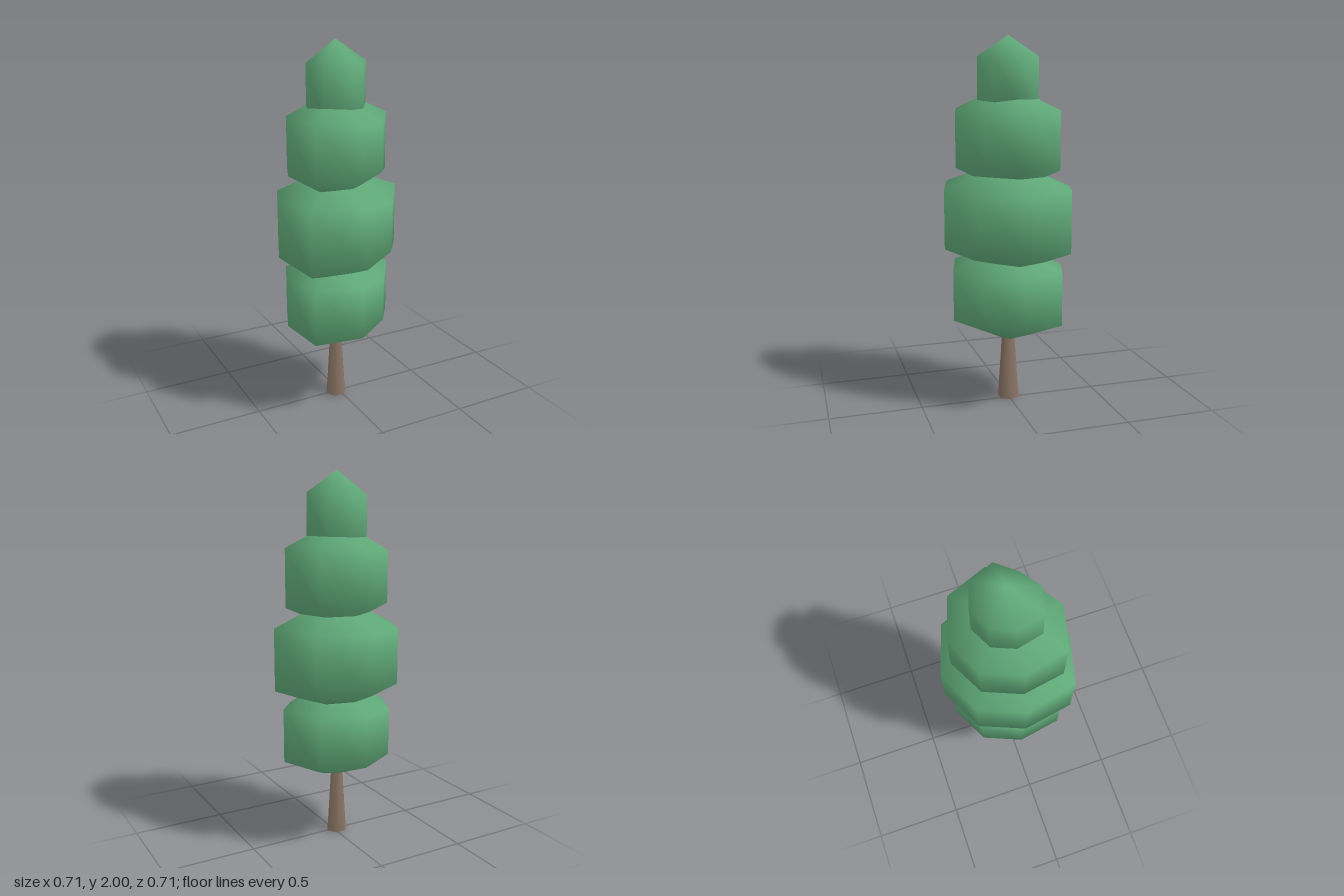
import * as THREE from 'three';
import { mergeVertices } from 'three/addons/utils/BufferGeometryUtils.js';

// Uneven radius of the eight foliage columns, starting at -x and going round by +z
const COLUMNS = [0.945, 1.117, 1, 0.877, 1.055, 1.06, 1, 0.945];
const AXIS_X = -0.02;

// Low-poly squashed ball whose columns are pushed in or out
function foliageGeometry(radius, halfHeight) {
  let geometry = new THREE.SphereGeometry(1, 8, 3);
  geometry.deleteAttribute('uv');
  geometry.deleteAttribute('normal');
  geometry = mergeVertices(geometry, 1e-4);
  const pos = geometry.attributes.position;
  for (let i = 0; i < pos.count; i++) {
    const x = pos.getX(i), y = pos.getY(i), z = pos.getZ(i);
    let k = 1;
    if (Math.hypot(x, z) > 0.01) {
      const column = Math.round(Math.atan2(z, -x) / (Math.PI / 4));
      k = COLUMNS[(column + 8) % 8];
    }
    pos.setXYZ(i, x * k * radius, y * k * halfHeight, z * k * radius);
  }
  geometry.computeVertexNormals();
  return geometry;
}

export function createModel() {
  const tree = new THREE.Group();
  tree.name = 'tree';

  const leafGreen = new THREE.MeshStandardMaterial({ color: 0x62ad7b });
  leafGreen.name = 'leaf green';
  const barkBrown = new THREE.MeshStandardMaterial({ color: 0x8a7565 });
  barkBrown.name = 'bark brown';

  // Tapered six-sided trunk
  const trunkHeight = 0.45;
  const trunk = new THREE.Mesh(
    new THREE.CylinderGeometry(0.03, 0.06, trunkHeight, 6, 1, false, Math.PI / 2), barkBrown);
  trunk.name = 'trunk';
  trunk.position.set(AXIS_X, trunkHeight / 2, 0);
  tree.add(trunk);

  // Stacked foliage tiers: name, centre height, radius, half height
  const tiers = [
    ['lowerFoliage', 0.61, 0.358, 0.277],
    ['wideFoliage', 1.033, 0.41, 0.318],
    ['upperFoliage', 1.457, 0.335, 0.292],
    ['crownFoliage', 1.76, 0.196, 0.24],
  ];
  for (const [name, y, radius, halfHeight] of tiers) {
    const tier = new THREE.Mesh(foliageGeometry(radius, halfHeight), leafGreen);
    tier.name = name;
    tier.position.set(AXIS_X, y, 0);
    tree.add(tier);
  }
  return tree;
}
